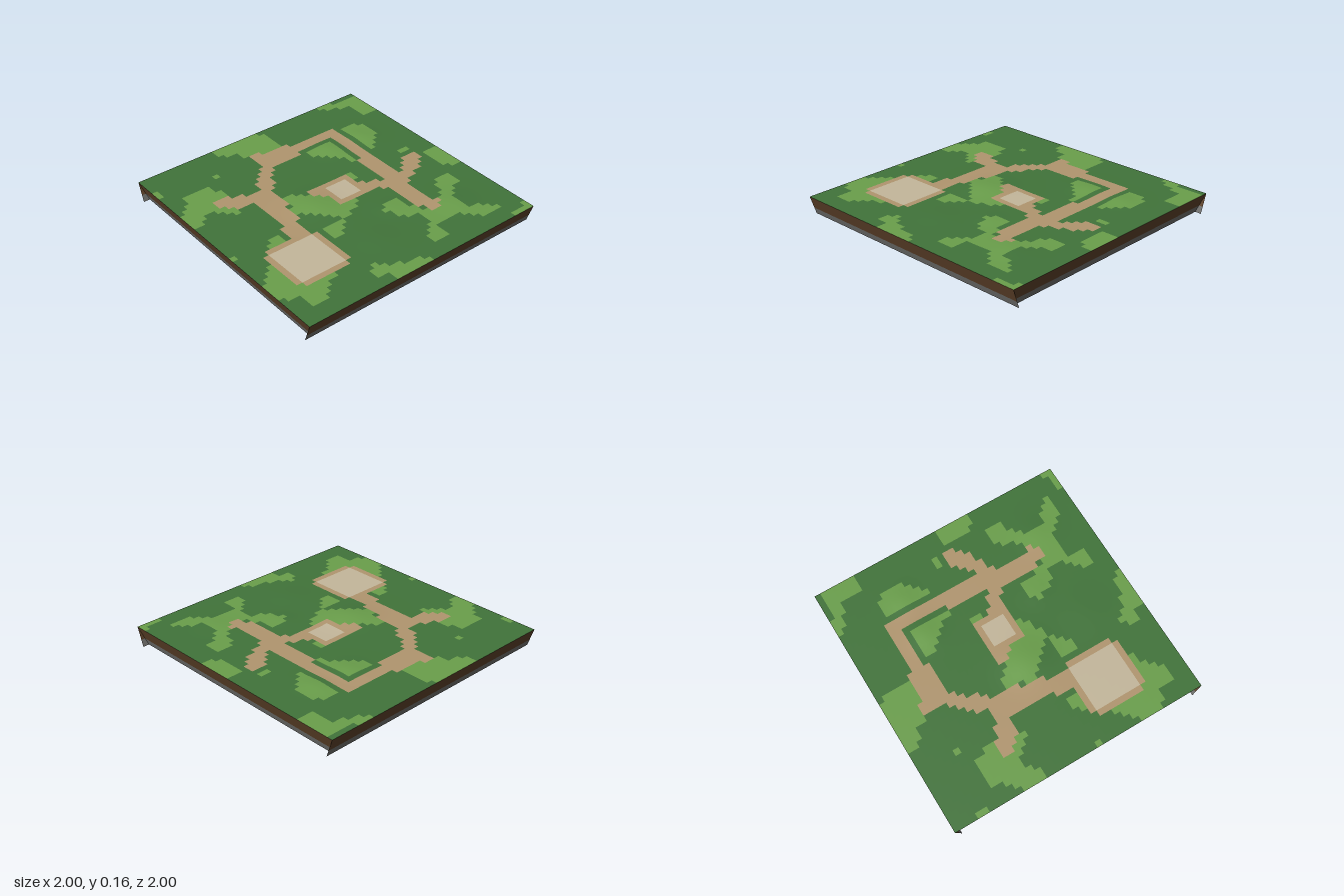
import * as THREE from 'three';

const N = 44, TOP = 0.145, SEAM = 0.05;
const mat = (name, color, side = THREE.FrontSide) => {
  const m = new THREE.MeshStandardMaterial({ color, side });
  m.name = name;
  return m;
};
const rect = (x0, z0, x1, z1) => [x0, z0, x1, z0, x1, z1, x0, z1];

// Is a point inside a flat [x, z, x, z, ...] polygon?
function inside(p, x, z) {
  let hit = false;
  for (let i = 0, j = p.length - 2; i < p.length; j = i, i += 2) {
    if ((p[i + 1] > z) !== (p[j + 1] > z) &&
      x < p[i] + (p[j] - p[i]) * (z - p[i + 1]) / (p[j + 1] - p[i + 1])) hit = !hit;
  }
  return hit;
}

// Gentle hills, fading out at the border
const hills = [[0.04, 0.2, 0.02, 0.17], [-0.47, -0.34, 0.013, 0.11], [-0.47, -0.64, 0.011, 0.1],
  [0.62, -0.6, 0.009, 0.13], [0.38, -0.2, 0.006, 0.1], [0.6, 0.1, 0.005, 0.15]];
function heightAt(x, z) {
  let h = 0;
  for (const [cx, cz, a, r] of hills) {
    h = Math.max(h, a * Math.exp(-((x - cx) ** 2 + (z - cz) ** 2) / (r * r)));
  }
  return TOP + h * Math.min(1, 6 * (1 - Math.max(Math.abs(x), Math.abs(z))));
}

// Cell map: 0 dark grass, 1 light grass, 2 path, 3 paving
function paintGround() {
  const cells = new Uint8Array(N * N);
  const paint = (kind, ...polys) => {
    for (let k = 0; k < N * N; k++) {
      const x = ((k % N) + 0.5) * 2 / N - 1, z = (Math.floor(k / N) + 0.5) * 2 / N - 1;
      if (polys.some((p) => inside(p, x, z))) cells[k] = kind;
    }
  };
  // Grass along the borders
  paint(1, rect(-0.95, -1, -0.68, -0.86), rect(-0.95, -0.86, -0.86, -0.78), rect(-1, -0.78, -0.91, -0.68),
    rect(-1, -0.68, -0.95, -0.62), rect(0, -1, 0.27, -0.91), rect(0, -0.91, 0.23, -0.86));
  paint(1, rect(0.91, -1, 1, -0.95), rect(0.95, -0.95, 1, -0.83), rect(-0.82, 0.95, -0.73, 1),
    rect(0.14, 0.95, 0.18, 1), rect(-0.73, 0.5, -0.68, 0.55), rect(-0.14, -0.82, -0.09, -0.73));
  paint(1, [-1, -0.05, -0.86, -0.09, -0.73, -0.09, -0.73, 0.18, -0.86, 0.23, -0.91, 0.36, -1, 0.36],
    [1, -0.05, 0.95, -0.05, 0.91, 0.09, 0.86, 0.23, 0.77, 0.27, 0.82, 0.36, 0.91, 0.36, 0.91, 0.27, 1, 0.27]);
  // Grass on the hills at the left and in the middle
  paint(1, [-0.64, -0.73, -0.55, -0.77, -0.45, -0.77, -0.36, -0.68, -0.27, -0.64, -0.27, -0.59, -0.64, -0.59],
    [-0.55, -0.41, -0.23, -0.41, -0.23, -0.38, -0.36, -0.32, -0.45, -0.18, -0.55, -0.18],
    rect(-0.14, -0.27, -0.05, -0.23),
    [0.14, -0.09, 0.18, -0.09, 0.27, 0.09, 0.27, 0.14, 0.18, 0.18, 0.09, 0.32, 0, 0.36, -0.14, 0.32,
      -0.18, 0.27, -0.05, 0.14, 0, 0.05, 0.14, 0.05],
    [0.27, 0.09, 0.32, 0.14, 0.41, 0.27, 0.41, 0.32, 0.27, 0.32]);
  // Branching grass at the right
  paint(1, [0.32, -0.77, 0.36, -0.82, 0.45, -0.82, 0.45, -0.73, 0.59, -0.62, 0.68, -0.62, 0.77, -0.73,
    0.82, -0.82, 0.86, -0.82, 0.86, -0.68, 0.73, -0.5, 0.73, -0.32, 0.55, -0.32, 0.55, -0.41,
    0.6, -0.45, 0.55, -0.55, 0.41, -0.64, 0.32, -0.68],
  [0.32, -0.32, 0.55, -0.36, 0.55, -0.27, 0.41, -0.14, 0.32, -0.18],
  [0.68, -0.32, 0.86, -0.32, 0.86, -0.18, 0.82, -0.14, 0.77, -0.18]);
  // Grass around the lower path and the large paving
  paint(1, [-0.64, 0.64, -0.45, 0.59, -0.41, 0.73, -0.32, 0.64, -0.23, 0.64, -0.36, 0.82, -0.36, 0.86,
    -0.27, 0.91, -0.27, 1, -0.41, 1, -0.5, 0.91, -0.64, 0.86],
  [0.14, 0.59, 0.23, 0.59, 0.23, 0.73, 0.14, 0.64],
  [0.64, 0.5, 0.73, 0.59, 0.77, 0.68, 0.86, 0.73, 0.86, 0.86, 0.73, 0.86, 0.73, 0.95, 0.68, 1,
    0.5, 1, 0.45, 0.91, 0.36, 0.86, 0.36, 0.82, 0.64, 0.82]);
  // Back and left paths
  paint(2, rect(-0.68, -0.55, 0.18, -0.455), rect(-0.23, -0.5, 0.55, -0.41), rect(0.23, -0.5, 0.5, -0.36),
    rect(0.5, -0.55, 0.545, -0.41), rect(0.545, -0.5, 0.59, -0.41), rect(-0.68, -0.55, -0.59, -0.14),
    rect(-0.73, -0.14, -0.59, 0.09), rect(-0.77, 0.09, -0.55, 0.18));
  // Path from the back through the small paving
  paint(2, [-0.05, -0.82, 0.05, -0.82, 0.05, -0.77, 0.14, -0.68, 0.18, -0.59, 0.23, -0.5, 0.23, -0.41,
    0.14, -0.27, 0.14, 0.045, 0, 0.045, 0, 0.09, -0.05, 0.14, -0.14, 0.14, -0.14, -0.23, 0, -0.23,
    0.05, -0.36, 0.09, -0.41, 0.09, -0.55, 0.05, -0.59, 0, -0.68, -0.05, -0.68]);
  // Front path and the rim of the large paving
  paint(2, [-0.6, -0.14, -0.55, -0.1, -0.55, 0.05, -0.5, 0.18, -0.36, 0.25, -0.32, 0.32, -0.09, 0.32,
    -0.09, 0.36, 0.09, 0.36, 0.09, 0.41, 0.23, 0.41, 0.23, 0.55, 0.09, 0.53, 0.09, 0.5, -0.27, 0.5,
    -0.27, 0.59, -0.36, 0.68, -0.36, 0.73, -0.45, 0.73, -0.45, 0.64, -0.41, 0.5, -0.36, 0.5,
    -0.38, 0.36, -0.5, 0.32, -0.6, 0.18],
  rect(0.27, 0.365, 0.64, 0.82), rect(0.23, 0.41, 0.68, 0.77));
  paint(3, rect(-0.09, -0.18, 0.09, 0), rect(0.27, 0.41, 0.64, 0.77));
  return cells;
}

// One rolling surface whose cells are grouped by colour
function ground(materials) {
  const geo = new THREE.PlaneGeometry(2, 2, N, N).rotateX(-Math.PI / 2);
  const pos = geo.attributes.position;
  for (let i = 0; i < pos.count; i++) pos.setY(i, heightAt(pos.getX(i), pos.getZ(i)));
  geo.computeVertexNormals();
  const cells = paintGround(), old = geo.index.array, index = [];
  materials.forEach((m, kind) => {
    const start = index.length;
    cells.forEach((c, k) => { if (c === kind) index.push(...old.slice(k * 6, k * 6 + 6)); });
    geo.addGroup(start, index.length - start, kind);
  });
  geo.setIndex(index);
  const mesh = new THREE.Mesh(geo, materials);
  mesh.name = 'ground';
  return mesh;
}

// Inward-leaning band of one wall, facing +z
function band(yTop, yLow, taper, material) {
  const inset = (y) => 1 - 0.05 * (1 - y / TOP);
  const [a, b] = [inset(yTop), inset(yLow)];
  const [wa, wb] = taper ? [a, b] : [1, 1];
  const geo = new THREE.BufferGeometry();
  geo.setAttribute('position', new THREE.Float32BufferAttribute(
    [-wb, yLow, b, wb, yLow, b, wa, yTop, a, -wa, yTop, a], 3));
  geo.setIndex([0, 1, 2, 0, 2, 3]);
  geo.computeVertexNormals();
  return new THREE.Mesh(geo, material);
}

export function createModel() {
  const model = new THREE.Group();
  model.name = 'terrainTile';
  const soil = mat('soil', 0x60432a, THREE.DoubleSide);
  const stone = mat('stone', 0x72726f, THREE.DoubleSide);
  model.add(ground([mat('darkGrass', 0x41743a), mat('lightGrass', 0x6a9f4b),
    mat('path', 0xb1966f), mat('paving', 0xc4b79b)]));

  // Walls: the side walls keep their full length and stand out at the corners
  ['front', 'left', 'back', 'right'].forEach((name, i) => {
    const wall = new THREE.Group();
    wall.name = name + 'Wall';
    const earth = band(TOP, SEAM, i % 2 === 0, soil), rock = band(SEAM, 0, i % 2 === 0, stone);
    earth.name = name + 'Soil';
    rock.name = name + 'Stone';
    wall.add(earth, rock);
    wall.rotation.y = i * Math.PI / 2;
    model.add(wall);
  });

  // Underside
  const base = new THREE.Mesh(new THREE.PlaneGeometry(1.9, 1.9).rotateX(Math.PI / 2), mat('underside', 0x666664));
  base.name = 'underside';
  model.add(base);
  return model;
}
